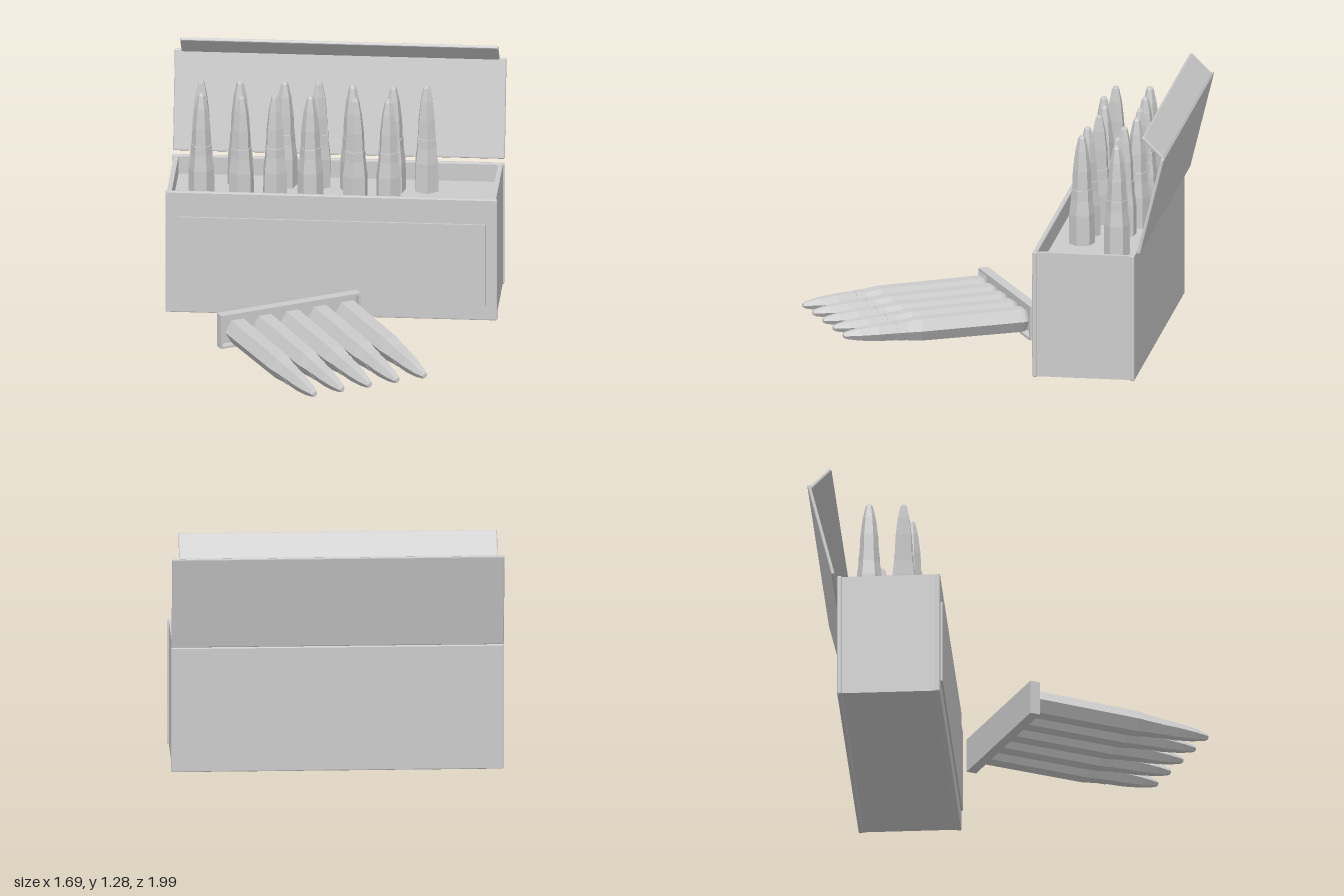
import * as THREE from 'three';
import { RoundedBoxGeometry } from 'three/addons/geometries/RoundedBoxGeometry.js';

const material = new THREE.MeshStandardMaterial({ color: 0xcccccc, flatShading: true });

function add(parent, name, geometry, x = 0, y = 0, z = 0) {
  const mesh = new THREE.Mesh(geometry, material);
  mesh.name = name;
  mesh.position.set(x, y, z);
  parent.add(mesh);
  return mesh;
}

const box = (w, h, d) => new THREE.BoxGeometry(w, h, d);
const plate = (w, h, d) => new RoundedBoxGeometry(w, h, d, 1, 0.006);

// Hexagonal cartridge along +y: case, shoulder, neck and pointed nose
const cartridgeGeometry = new THREE.LatheGeometry([
  [0, 0], [0.056, 0], [0.067, 0.015], [0.069, 0.03], [0.065, 0.57], [0.055, 0.65],
  [0.053, 0.7], [0.05, 0.701], [0.046, 0.8], [0.034, 0.9], [0.019, 0.968], [0.012, 0.98], [0, 0.98],
].map(([r, y]) => new THREE.Vector2(r, y)), 6);

// Plate spanning two points given as [y, z]
function slopedPlate(parent, name, width, thickness, [y0, z0], [y1, z1]) {
  const mesh = add(parent, name, plate(width, Math.hypot(y1 - y0, z1 - z0), thickness),
    0, (y0 + y1) / 2, (z0 + z1) / 2);
  mesh.rotation.x = Math.atan2(z1 - z0, y1 - y0);
}

function createBox() {
  const group = new THREE.Group();
  group.name = 'ammunitionBox';
  const zMid = -0.58;
  add(group, 'frontWall', plate(1.69, 0.66, 0.024), 0, 0.33, -0.332);
  add(group, 'backWall', plate(1.69, 0.66, 0.024), 0, 0.33, -0.832);
  for (const side of [-1, 1]) {
    add(group, 'sideWall', box(0.024, 0.652, 0.48), side * 0.826, 0.33, zMid);
  }
  add(group, 'bottom', box(1.65, 0.02, 0.48), 0, 0.014, zMid);
  add(group, 'innerTray', box(1.63, 0.02, 0.48), 0, 0.55, zMid);
  add(group, 'frontPanel', box(1.57, 0.44, 0.012), 0, 0.305, -0.316);
  return group;
}

function createLid() {
  const group = new THREE.Group();
  group.name = 'lid';
  slopedPlate(group, 'lidPanel', 1.69, 0.018, [0.67, -0.864], [1.175, -0.988]);
  slopedPlate(group, 'lidFlange', 1.62, 0.018, [1.168, -0.988], [1.276, -0.878]);
  return group;
}

// Loose cartridges standing in two uneven rows
function createStandingCartridges() {
  const group = new THREE.Group();
  group.name = 'standingCartridges';
  const spots = [
    [-0.69, -0.69], [-0.49, -0.695], [-0.265, -0.705], [-0.09, -0.715],
    [0.085, -0.675], [0.29, -0.675], [0.46, -0.695],
    [-0.675, -0.515], [-0.47, -0.488], [-0.3, -0.515], [-0.12, -0.515],
    [0.11, -0.493], [0.28, -0.488],
  ];
  spots.forEach(([x, z], i) => {
    add(group, 'cartridge', cartridgeGeometry, x, 0.145, z).rotation.y = (i * 0.37) % 1.05;
  });
  return group;
}

// Open channel holding five cartridges side by side
function createClip() {
  const group = new THREE.Group();
  group.name = 'loadedClip';
  const width = 0.78, depth = 0.052, height = 0.18, t = 0.012;
  add(group, 'clipBack', box(width, height, t), 0, height / 2, -depth / 2 + t / 2);
  for (const y of [t / 2, height - t / 2]) {
    add(group, 'clipLip', box(width, t, depth), 0, y, 0);
  }
  for (const side of [-1, 1]) {
    add(group, 'clipEnd', box(t, height, depth), side * (width - t) / 2, height / 2, 0);
  }
  const lying = cartridgeGeometry.clone().rotateY(Math.PI / 6).rotateX(Math.PI / 2);
  for (let i = -2; i <= 2; i++) {
    add(group, 'clipCartridge', lying, i * 0.153, 0.095, 0.022);
  }
  group.position.set(-0.195, 0, -0.04);
  group.rotation.y = 0.494;
  return group;
}

export function createModel() {
  const model = new THREE.Group();
  model.name = 'cartridgeBoxSet';
  model.add(createBox(), createLid(), createStandingCartridges(), createClip());
  return model;
}
